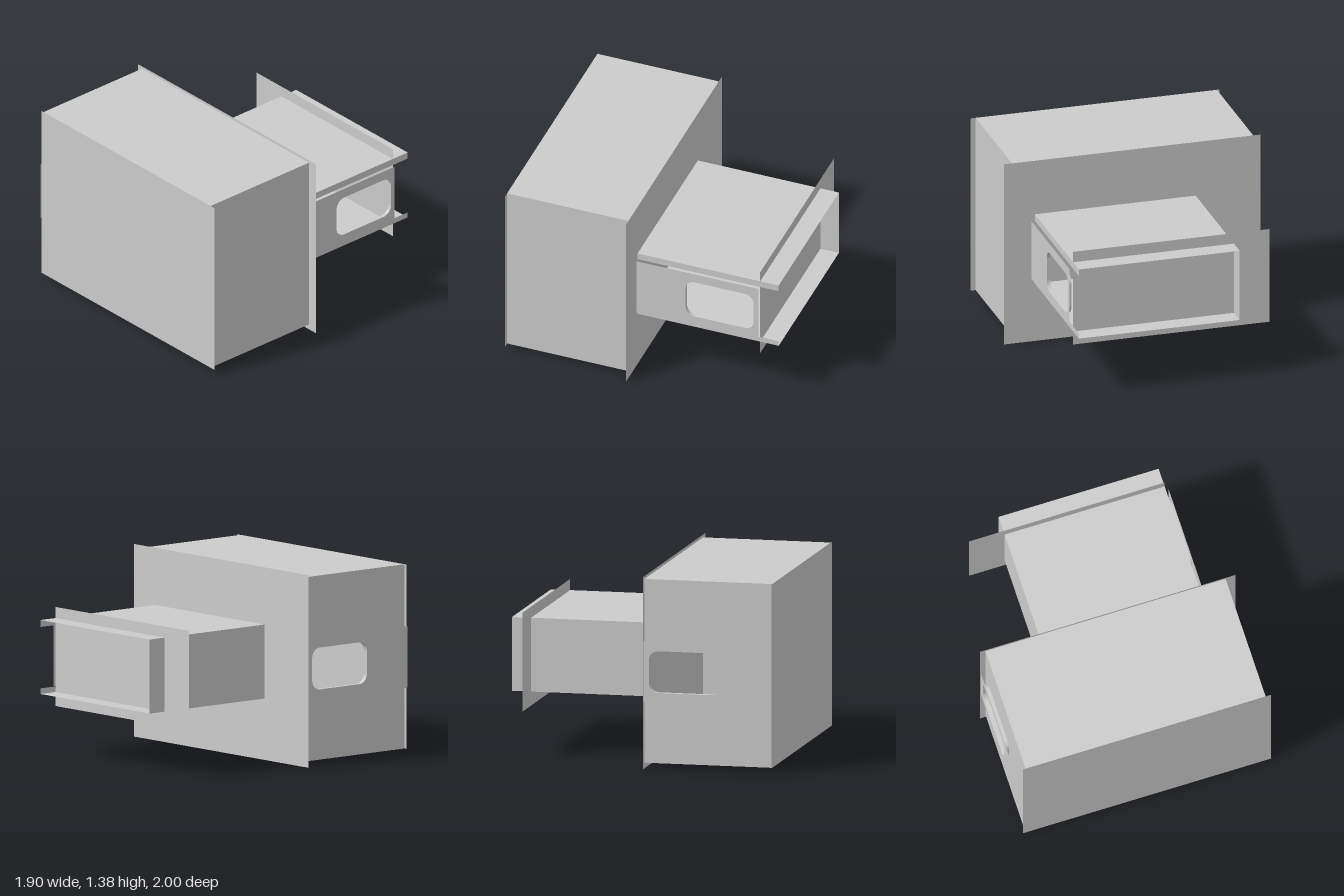
import * as THREE from 'three';

const material = new THREE.MeshStandardMaterial({ color: 0xcccccc, side: THREE.DoubleSide });

// Rounded window outline; the same for both bands
function windowPath(z0, z1, y0, y1, r) {
  const p = new THREE.Path();
  p.moveTo(z0 + r, y0);
  p.lineTo(z1 - r, y0);
  p.absarc(z1 - r, y0 + r, r, -Math.PI / 2, 0);
  p.lineTo(z1, y1 - r);
  p.absarc(z1 - r, y1 - r, r, 0, Math.PI / 2);
  p.lineTo(z0 + r, y1);
  p.absarc(z0 + r, y1 - r, r, Math.PI / 2, Math.PI);
  p.lineTo(z0, y0 + r);
  p.absarc(z0 + r, y0 + r, r, Math.PI, Math.PI * 1.5);
  return p;
}

// Flat sheet spanning a0..a1 by b0..b1, optionally pierced
function sheetGeometry(a0, a1, b0, b1, hole) {
  const s = new THREE.Shape();
  s.moveTo(a0, b0);
  s.lineTo(a1, b0);
  s.lineTo(a1, b1);
  s.lineTo(a0, b1);
  s.closePath();
  if (hole) s.holes.push(hole);
  return new THREE.ShapeGeometry(s, 8);
}

// Open tube following the window outline from x0 to x1
function rimGeometry(path, x0, x1) {
  const pts = path.getPoints(8);
  const pos = [], index = [];
  pts.forEach((p, i) => {
    pos.push(x0, p.y, p.x, x1, p.y, p.x);
    if (i < pts.length - 1) {
      const a = 2 * i;
      index.push(a, a + 1, a + 2, a + 1, a + 3, a + 2);
    }
  });
  const g = new THREE.BufferGeometry();
  g.setAttribute('position', new THREE.Float32BufferAttribute(pos, 3));
  g.setIndex(index);
  g.computeVertexNormals();
  return g;
}

export function createModel() {
  const model = new THREE.Group();
  model.name = 'wallBox';

  const add = (name, geometry) => {
    const mesh = new THREE.Mesh(geometry, material);
    mesh.name = name;
    model.add(mesh);
    return mesh;
  };
  // Sheets facing along z, x and y
  const zSheet = (name, z, x0, x1, y0, y1) =>
    add(name, sheetGeometry(x0, x1, y0, y1).translate(0, 0, z));
  const xSheet = (name, x, z0, z1, y0, y1, hole) => {
    const g = sheetGeometry(z0, z1, y0, y1, hole).rotateY(-Math.PI / 2);
    if (x > 0) { // turn the face outward on the +x side
      const idx = g.index.array;
      for (let i = 0; i < idx.length; i += 3) [idx[i], idx[i + 1]] = [idx[i + 1], idx[i]];
      g.computeVertexNormals();
    }
    return add(name, g.translate(x, 0, 0));
  };
  const ySheet = (name, y, x0, x1, z0, z1, up) => {
    const g = new THREE.PlaneGeometry(x1 - x0, z1 - z0).rotateX(up ? -Math.PI / 2 : Math.PI / 2);
    return add(name, g.translate((x0 + x1) / 2, y, (z0 + z1) / 2));
  };

  // Main housing: hollow box with a front panel and a rear flange
  const zBack = 0.07;
  const frontWindow = windowPath(0.11, 0.62, 0.55, 0.85, 0.07);
  zSheet('frontPanel', 1, -0.93, 0.915, 0.04, 1.36);
  zSheet('rearFlange', zBack, -0.95, 0.95, 0, 1.38).geometry.rotateY(Math.PI).translate(0, 0, 2 * zBack);
  xSheet('housingLeftWall', 0.875, zBack, 1, 0.04, 1.36);
  xSheet('housingRightWall', -0.91, zBack, 1, 0.04, 1.36, frontWindow);
  ySheet('housingTop', 1.36, -0.91, 0.875, zBack, 1, true);
  ySheet('housingBottom', 0.04, -0.91, 0.875, zBack, 1, false);

  // Band with window on the housing side
  xSheet('housingBand', -0.943, zBack, 1, 0.48, 0.92, frontWindow);
  add('housingWindowRim', rimGeometry(frontWindow, -0.943, -0.91));

  // Rear channel: C-shaped section with lips, open at the side and end
  const rearWindow = windowPath(-0.82, -0.305, 0.55, 0.85, 0.07);
  ySheet('channelTop', 0.97, -0.47, 0.72, -1, zBack, true);
  ySheet('channelBottom', 0.44, -0.47, 0.72, -1, zBack, false);
  xSheet('channelWall', -0.47, -1, zBack, 0.44, 0.97);
  xSheet('channelUpperLip', 0.72, -1, zBack, 0.92, 0.97);
  xSheet('channelLowerLip', 0.72, -1, zBack, 0.44, 0.48);

  // Band with window closing the channel side
  xSheet('channelBand', 0.746, -0.855, zBack, 0.48, 0.92, rearWindow);
  add('channelWindowRim', rimGeometry(rearWindow, 0.72, 0.746));

  // Plate across the channel near its end
  const plateZ = -0.86;
  zSheet('crossPlate', plateZ, -0.735, 0.72, 0.34, 1.05);

  return model;
}
